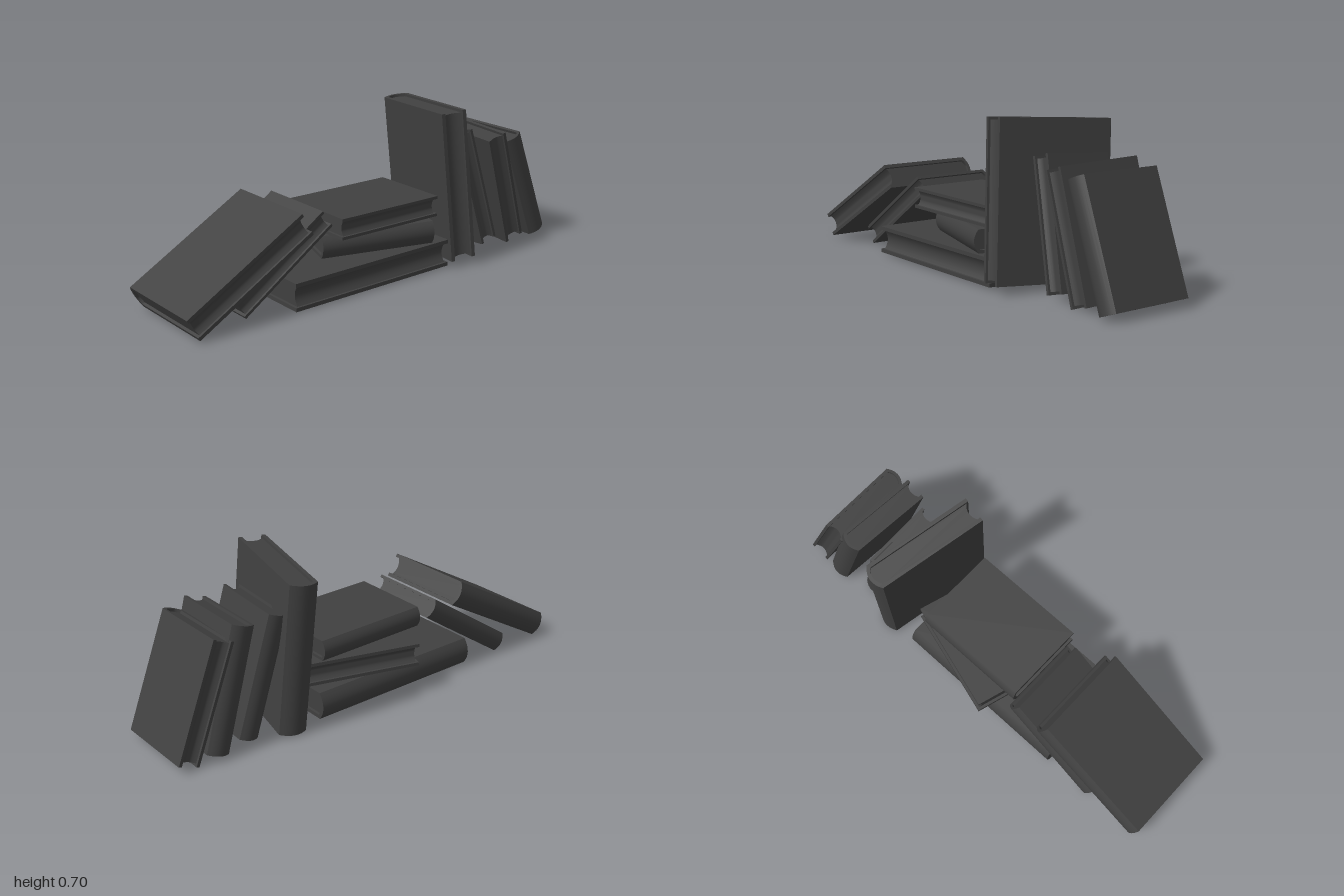
import * as THREE from 'three';
import { toCreasedNormals } from 'three/addons/utils/BufferGeometryUtils.js';

const material = new THREE.MeshStandardMaterial({ color: 0x404040 });
const deg = Math.PI / 180;

// Extrude a thickness/depth cross-section along the book's height (y), centred
function extrudeUp(shape, height) {
  const geo = new THREE.ExtrudeGeometry(shape, { depth: height, bevelEnabled: false, curveSegments: 8 });
  geo.translate(0, 0, -height / 2);
  geo.rotateX(Math.PI / 2);
  return toCreasedNormals(geo, 0.6);
}

// Upright book: spine at -z, fore-edge at +z, thickness along x
function makeBook(name, { h, d, t, pos, rot }) {
  const book = new THREE.Group();
  book.name = name;
  const a = t / 2, f = d / 2, b = t * 0.14, bulge = t * 0.2, s = -f + bulge;

  // Cover: two boards joined by a rounded spine
  const cover = new THREE.Shape();
  cover.moveTo(a, s);
  cover.lineTo(a, f);
  cover.lineTo(a - b, f);
  cover.lineTo(a - b, s + b * 0.5);
  cover.quadraticCurveTo(0, s - bulge * 1.5 + b * 0.5, -a + b, s + b * 0.5);
  cover.lineTo(-a + b, f);
  cover.lineTo(-a, f);
  cover.lineTo(-a, s);
  cover.quadraticCurveTo(0, s - bulge * 2, a, s);

  // Pages: set back from the boards, with a hollow fore-edge
  const p = a - b, edge = f - 0.01;
  const pages = new THREE.Shape();
  pages.moveTo(p, s + b * 0.5);
  pages.lineTo(p, edge);
  pages.quadraticCurveTo(0, edge - t * 0.28, -p, edge);
  pages.lineTo(-p, s + b * 0.5);
  pages.quadraticCurveTo(0, s - bulge * 1.5 + b * 0.5, p, s + b * 0.5);

  for (const [part, shape, height] of [['cover', cover, h], ['pages', pages, h - 0.024]]) {
    const mesh = new THREE.Mesh(extrudeUp(shape, height), material);
    mesh.name = part;
    book.add(mesh);
  }
  book.position.set(...pos);
  book.rotation.set(rot[0] * deg, rot[1] * deg, rot[2] * deg, 'YXZ');
  return book;
}

// Sizes are height, depth and thickness; rotations are tilt, yaw and lean in degrees
const books = {
  // Stack lying flat
  bottomBook: { h: 0.82, d: 0.45, t: 0.12, pos: [-0.09, 0.071, 0.015], rot: [0, 0, -90] },
  middleBook: { h: 0.51, d: 0.39, t: 0.1, pos: [0.04, 0.187, -0.01], rot: [-1.2, 163.5, -90] },
  topBook: { h: 0.52, d: 0.38, t: 0.09, pos: [0.01, 0.293, 0.03], rot: [0, 0, -90.6] },
  // Pair sloping against the stack
  smallSlopingBook: { h: 0.52, d: 0.375, t: 0.088, pos: [-0.5, 0.193, -0.02], rot: [0, 0, -56] },
  largeSlopingBook: { h: 0.615, d: 0.45, t: 0.11, pos: [-0.705, 0.215, 0.015], rot: [0, 0, -60.5] },
  // Standing row leaning on the tall book
  tallBook: { h: 0.66, d: 0.52, t: 0.12, pos: [0.41, 0.355, 0.003], rot: [-3, -11.3, 4] },
  thinLeaningBook: { h: 0.54, d: 0.33, t: 0.09, pos: [0.575, 0.287, -0.01], rot: [-4, 0, 14.5] },
  leaningBook: { h: 0.53, d: 0.39, t: 0.1, pos: [0.735, 0.28, -0.005], rot: [2, -3, 16] },
  endLeaningBook: { h: 0.515, d: 0.385, t: 0.096, pos: [0.858, 0.267, 0.005], rot: [0, 180, -20.9] },
};

export function createModel() {
  const model = new THREE.Group();
  model.name = 'bookPile';
  for (const [name, spec] of Object.entries(books)) model.add(makeBook(name, spec));
  return model;
}
